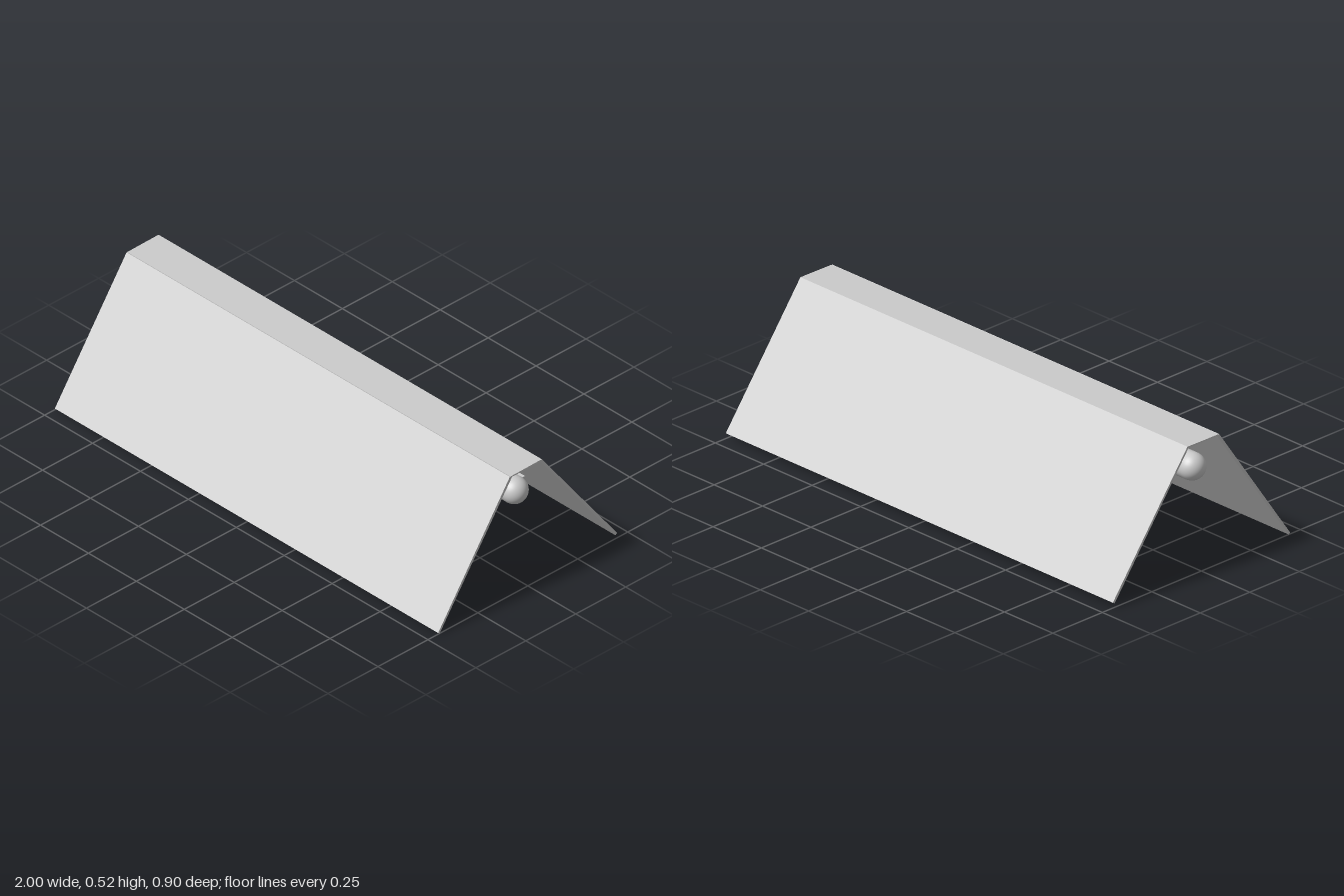
import * as THREE from 'three';

const material = new THREE.MeshStandardMaterial({ color: 0xcccccc });

// Extrudes a [z, y] outline along x, centred on the given x
function profile(name, outline, width, x = 0, hole = null) {
  const points = (list) => list.map(([z, y]) => new THREE.Vector2(-z, y));
  const shape = new THREE.Shape(points(outline));
  if (hole) shape.holes.push(new THREE.Path(points(hole)));
  const geometry = new THREE.ExtrudeGeometry(shape, { depth: width, bevelEnabled: false });
  geometry.translate(0, 0, -width / 2).rotateY(Math.PI / 2).translate(x, 0, 0);
  const mesh = new THREE.Mesh(geometry, material);
  mesh.name = name;
  return mesh;
}

export function createModel() {
  const group = new THREE.Group();
  group.name = 'lampFixture';

  // Folded shade: two sloping panels and a flat ridge plate
  group.add(
    profile('frontPanel', [[0.09, 0.521], [0.449, 0.008], [0.441, 0.003], [0.079, 0.516]], 2),
    profile('backPanel', [[-0.07, 0.523], [-0.064, 0.517], [-0.438, 0.018], [-0.447, 0.024]], 2),
    profile('ridgePlate', [[0.087, 0.516], [0.087, 0.521], [-0.07, 0.523], [-0.07, 0.516]], 2),
  );

  // Long round-ended light tube
  const tube = new THREE.Mesh(new THREE.CapsuleGeometry(0.053, 1.88, 16, 32), material);
  tube.name = 'lightTube';
  tube.rotation.z = Math.PI / 2;
  tube.position.set(0, 0.399, 0.011);
  group.add(tube);

  for (const side of [1, -1]) {
    // Thin trapezoid strap around the tube
    group.add(profile('strap',
      [[0.029, 0.503], [0.145, 0.339], [-0.14, 0.341], [-0.022, 0.503]], 0.11, side * 0.79,
      [[0.027, 0.5], [0.139, 0.342], [-0.134, 0.344], [-0.02, 0.5]]));

    // Hanging eye with its stem
    const eye = new THREE.Mesh(new THREE.TorusGeometry(0.0115, 0.0025, 10, 28), material);
    eye.name = 'hangerEye';
    eye.rotation.y = Math.PI / 2;
    eye.position.set(side * 0.86, 0.487, 0.003);
    const stem = new THREE.Mesh(new THREE.CylinderGeometry(0.004, 0.004, 0.018, 16), material);
    stem.name = 'hangerStem';
    stem.position.set(side * 0.86, 0.509, 0.003);
    group.add(eye, stem);
  }

  group.position.y = -0.003;
  return group;
}
